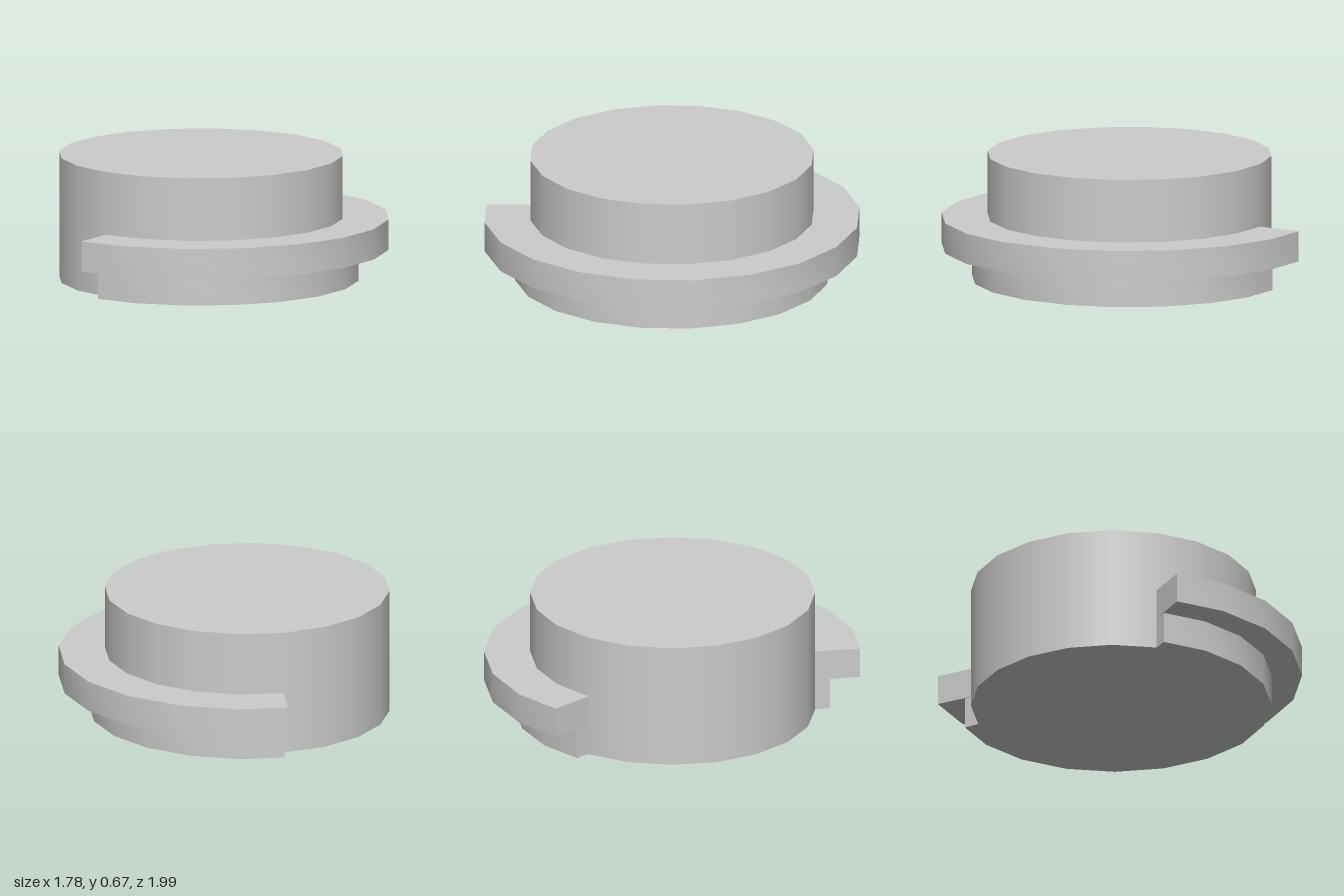
import * as THREE from 'three';
import { toCreasedNormals } from 'three/addons/utils/BufferGeometryUtils.js';

const SIDES = 20, CORE_RADIUS = 0.755, CENTRE_X = -0.11;
// The ledges run from the left-front corner round the front and side to the back.
const FIRST = 12, LAST = 25;

export function createModel() {
  const group = new THREE.Group();
  group.name = 'steppedDisc';
  const material = new THREE.MeshStandardMaterial({ color: 0xcccccc });

  const add = (name, geometry, y) => {
    const mesh = new THREE.Mesh(geometry, material);
    mesh.name = name;
    mesh.position.set(CENTRE_X, y, 0);
    group.add(mesh);
  };

  const corner = (i, radius) => {
    const a = (i / SIDES) * Math.PI * 2;
    return new THREE.Vector2(Math.cos(a) * radius, Math.sin(a) * radius);
  };

  // Ring sector around the core; its outer ends are trimmed back along their facets
  const ledge = (radius, height, trim) => {
    const outer = [], inner = [];
    for (let i = FIRST; i <= LAST; i++) {
      outer.push(corner(i, radius));
      inner.unshift(corner(i, CORE_RADIUS));
    }
    outer[0].lerp(outer[1], trim);
    outer[outer.length - 1].lerp(outer[outer.length - 2], trim);
    const geometry = new THREE.ExtrudeGeometry(new THREE.Shape([...outer, ...inner]),
      { depth: height, bevelEnabled: false });
    geometry.rotateX(-Math.PI / 2);
    return toCreasedNormals(geometry, 0.6);
  };

  // Full-height core
  add('core', new THREE.CylinderGeometry(CORE_RADIUS, CORE_RADIUS, 0.67, SIDES), 0.335);
  // Narrow ledge at the bottom, wide flange above it
  add('lowerLedge', ledge(0.838, 0.17, 0.07), 0);
  add('flange', ledge(1.0, 0.163, 0.13), 0.17);

  return group;
}
